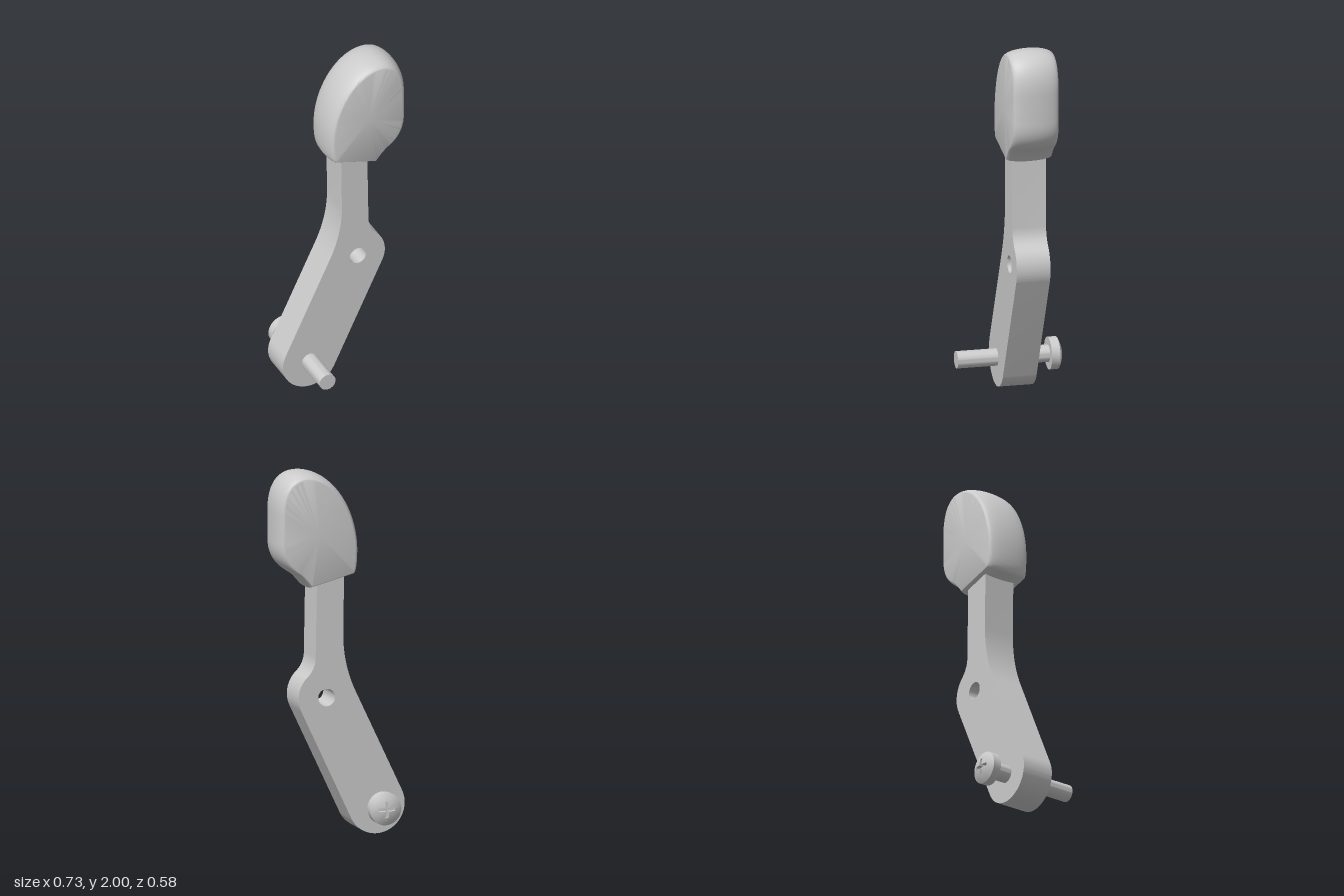
import * as THREE from 'three';
import { toCreasedNormals } from 'three/addons/utils/BufferGeometryUtils.js';

const material = new THREE.MeshStandardMaterial({ color: 0xcccccc });

function addMesh(group, name, geometry, crease = 0.6) {
  const mesh = new THREE.Mesh(toCreasedNormals(geometry, crease), material);
  mesh.name = name;
  group.add(mesh);
  return mesh;
}

// Skin over closed loops of equal length, counter-clockwise seen from +z
function loft(rows) {
  const n = rows[0].length;
  const positions = rows.flat().flatMap((p) => [p.x, p.y, p.z]);
  const index = [];
  for (let i = 0; i < rows.length - 1; i++) {
    for (let j = 0; j < n; j++) {
      const k = (j + 1) % n;
      const a = i * n + j, b = i * n + k, c = b + n, d = a + n;
      index.push(a, b, c, a, c, d);
    }
  }
  const geometry = new THREE.BufferGeometry();
  geometry.setAttribute('position', new THREE.Float32BufferAttribute(positions, 3));
  geometry.setIndex(index);
  return geometry;
}

// Bent flat arm with a pivot hole
function armGeometry() {
  const low = [-0.205, 0.162], pivot = [0.08, 0.765], r = 0.16;
  const side = Math.atan2(pivot[1] - low[1], pivot[0] - low[0]) - Math.PI / 2;
  const shape = new THREE.Shape();
  shape.absarc(...low, r, side + Math.PI, side + 2 * Math.PI, false);
  shape.absarc(...pivot, r, side, 0.8, false);
  shape.quadraticCurveTo(0.147, 0.92, 0.143, 0.98);
  shape.lineTo(0.134, 1.5);
  shape.lineTo(-0.02, 1.5);
  shape.lineTo(-0.015, 1.1);
  shape.bezierCurveTo(-0.015, 0.98, -0.045, 0.87, -0.092, 0.775);
  shape.closePath();
  const hole = new THREE.Path();
  hole.absarc(...pivot, 0.048, 0, Math.PI * 2, true);
  shape.holes.push(hole);
  const geometry = new THREE.ExtrudeGeometry(shape, { depth: 0.187, bevelEnabled: false, curveSegments: 32 });
  return geometry.translate(0, 0, -0.12);
}

// Knob outline; the numbers are control points, starting at the bottom tip
function knobOutline(c) {
  const path = new THREE.Path();
  path.moveTo(c[0], c[1]);
  path.quadraticCurveTo(...c.slice(2, 6));
  path.bezierCurveTo(...c.slice(6, 12));
  path.lineTo(c[12], c[13]);
  path.bezierCurveTo(...c.slice(14, 20));
  path.bezierCurveTo(...c.slice(20, 26));
  path.bezierCurveTo(...c.slice(26, 32));
  path.lineTo(c[0], c[1]);
  return path.getPoints(20).slice(0, -1);
}

// Knob: the outline shrinks along an elliptical edge to a flat face on each side
function knobGeometry() {
  const outer = knobOutline([
    0.175, 1.365, 0.22, 1.42, 0.25, 1.44, 0.32, 1.48, 0.36, 1.53, 0.36, 1.62, 0.36, 1.78,
    0.36, 1.92, 0.3, 2, 0.2, 2, 0.02, 2, -0.12, 1.77, -0.108, 1.53,
    -0.106, 1.48, -0.098, 1.434, -0.08, 1.428]);
  const inner = knobOutline([
    0.167, 1.385, 0.205, 1.435, 0.235, 1.457, 0.29, 1.495, 0.322, 1.54, 0.322, 1.63, 0.322, 1.77,
    0.322, 1.9, 0.275, 1.962, 0.195, 1.962, 0.045, 1.962, -0.085, 1.75, -0.075, 1.54,
    -0.074, 1.49, -0.07, 1.447, -0.06, 1.443]);
  const mid = -0.017, half = 0.127, steps = 24;
  const cap = (z) => outer.map(() => new THREE.Vector3(0.13, 1.66, z));
  const rows = [cap(mid - half)];
  for (let i = 0; i <= steps; i++) {
    const a = (i / steps - 0.5) * Math.PI;
    rows.push(outer.map((p, j) => {
      const q = p.clone().lerp(inner[j], 1 - Math.cos(a));
      return new THREE.Vector3(q.x, q.y, mid + half * Math.sin(a));
    }));
  }
  rows.push(cap(mid + half));
  return loft(rows);
}

// Domed screw head with a cross-shaped recess, facing +z
function screwHeadGeometry() {
  const R = 0.089, rim = 0.047, dome = 0.026, armLength = 0.046, armHalf = 0.009, floor = 0.045;
  const corner = Math.atan2(armHalf, armLength);
  const angles = [];
  for (let q = 0; q < 4; q++) {
    const offsets = [-Math.PI / 4, -0.6, -0.4, -corner, 0, corner, 0.4, 0.6];
    for (const o of offsets) angles.push([q * Math.PI / 2 + o, o]);
  }
  const row = (radius, height) => angles.map(([a, o]) => {
    const edge = Math.min(armLength / Math.cos(o), armHalf / Math.max(Math.abs(Math.sin(o)), 1e-6));
    const r = radius(edge);
    return new THREE.Vector3(r * Math.cos(a), r * Math.sin(a), height(r));
  });
  const rows = [row(() => 0, () => 0), row(() => R, () => 0)];
  for (let i = 0; i <= 8; i++) {
    rows.push(row((e) => R + (e - R) * i / 8, (r) => rim + dome * (1 - (r / R) ** 2)));
  }
  rows.push(row((e) => e, () => floor), row(() => 0, () => floor));
  return loft(rows);
}

export function createModel() {
  const model = new THREE.Group();
  model.name = 'lever';
  addMesh(model, 'arm', armGeometry());
  addMesh(model, 'knob', knobGeometry());

  // Screw through the lower end, head at the back
  const screw = new THREE.Group();
  screw.name = 'screw';
  screw.position.set(-0.205, 0.162, 0);
  const shaft = new THREE.CylinderGeometry(0.047, 0.047, 0.51, 40).rotateX(Math.PI / 2);
  addMesh(screw, 'screwShaft', shaft).position.z = 0.035;
  addMesh(screw, 'screwHead', screwHeadGeometry().rotateY(Math.PI)).position.z = -0.22;
  model.add(screw);
  return model;
}
